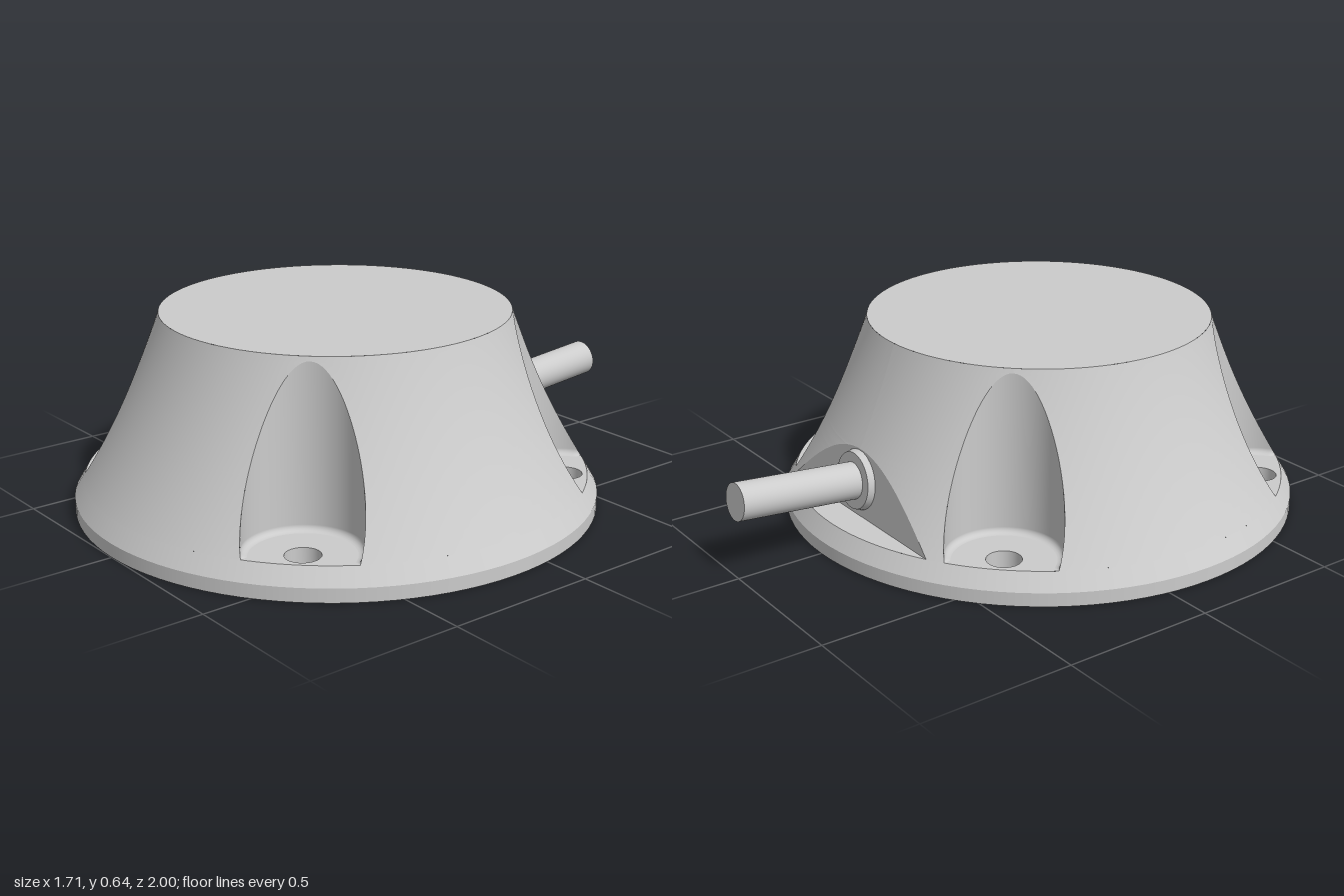
import * as THREE from 'three';

const H = 0.64, LIP = 0.045, FLOOR = 0.1;      // top, rim lip and pocket floor heights
const R = 0.18, D = 0.75, FILLET = 0.02;       // pocket radius, distance from axis, floor fillet
const SEG = 96, Q = Math.PI / 2;

// Flared side: radius at a height, and its inverse
const A = 0.855, B = 0.63, C = 0.24;
const radiusAt = y => A - B * (y - LIP) + C * (y - LIP) ** 2;
const heightAt = r => LIP + (B - Math.sqrt(B * B - 4 * C * (A - r))) / (2 * C);
const acos = v => Math.acos(Math.min(1, v));

// Half angle a pocket takes out of the side at a height
const pocketAngle = y => {
  const r = radiusAt(y);
  return acos((r * r + D * D - R * R) / (2 * r * D));
};
// Rear flat, leaning with the cable: distance from axis and half angle at a height
const TILT = 0.09;
const flatDist = y => 0.72 - TILT * (y - FLOOR);
const flatAngle = y => acos(flatDist(y) / radiusAt(y));
const k = B - TILT, FLAT_TOP = LIP + (k - Math.sqrt(k * k - 4 * C * (A - flatDist(LIP)))) / (2 * C);

const polar = (a, r, y) => [r * Math.sin(a), y, r * Math.cos(a)];
const lerp = THREE.MathUtils.lerp;

export function createModel() {
  const model = new THREE.Group();
  const body = new THREE.Group();
  body.name = 'body';
  body.position.z = 0.145;
  model.add(body);
  const mat = new THREE.MeshStandardMaterial({ color: 0xcccccc });
  const thin = new THREE.MeshStandardMaterial({ color: 0xcccccc, side: THREE.DoubleSide });

  const add = (name, geo, parent = body, material = mat) => {
    const mesh = new THREE.Mesh(geo, material);
    mesh.name = name;
    parent.add(mesh);
    return mesh;
  };

  // Grid surface: u runs rightwards and v upwards, seen from outside
  const grid = (nu, nv, f) => {
    const pos = [], idx = [];
    for (let j = 0; j <= nv; j++) for (let i = 0; i <= nu; i++) pos.push(...f(i / nu, j));
    for (let j = 0; j < nv; j++) for (let i = 0; i < nu; i++) {
      const a = j * (nu + 1) + i, b = a + nu + 1;
      idx.push(a, a + 1, b + 1, a, b + 1, b);
    }
    const geo = new THREE.BufferGeometry();
    geo.setAttribute('position', new THREE.Float32BufferAttribute(pos, 3));
    geo.setIndex(idx);
    geo.computeVertexNormals();
    return geo;
  };

  // Pocket wall angles, from the back of the pocket out to its mouth
  const rFloor = radiusAt(FLOOR);
  const psiMax = Math.acos((D * D + R * R - rFloor * rFloor) / (2 * D * R));
  const N = 28;
  const wallTop = psi => Math.max(FLOOR, heightAt(Math.sqrt(D * D + R * R - 2 * D * R * Math.cos(psi))));

  // Side rows, close together where pockets and the flat run out
  const rows = [H];
  for (let i = 0; i <= N; i++) rows.push(wallTop(psiMax * i / N));
  for (let i = 0; i < 14; i++) rows.push(FLOOR + (FLAT_TOP - FLOOR) * (1 - (i / 14) ** 2));
  rows.sort((a, b) => a - b);
  const strip = (name, ys, nu, from, to, rad = (a, y) => radiusAt(y)) =>
    add(name, grid(nu, ys.length - 1, (u, j) => {
      const y = ys[j], a = lerp(from(y), to(y), u);
      return polar(a, rad(a, y), y);
    }));

  // Flared side between pockets; the rear one is split around the flat
  for (let s = 0; s < 4; s++) {
    const mid = s * Q;
    const start = y => mid - Q / 2 + pocketAngle(y), end = y => mid + Q / 2 - pocketAngle(y);
    if (s === 2) {
      strip('rearShoulderLeft', rows, 14, start, y => mid - flatAngle(y));
      strip('rearShoulderRight', rows, 14, y => mid + flatAngle(y), end);
    } else strip('flaredSide', rows, 28, start, end);
  }

  // Rear flat and the ledge beneath it
  const chord = (a, y) => flatDist(y) / Math.cos(a - Math.PI);
  strip('rearFlat', rows.filter(y => y <= FLAT_TOP + 1e-6), 20,
    y => Math.PI - flatAngle(y), y => Math.PI + flatAngle(y), chord);
  const half = flatAngle(FLOOR);
  add('rearLedge', grid(24, 1, (u, j) => {
    const a = Math.PI + lerp(-half, half, u);
    return polar(a, j ? chord(a, FLOOR) : rFloor, FLOOR);
  }));

  // Top disc
  add('topFace', new THREE.CircleGeometry(radiusAt(H), SEG).rotateX(-Q)).position.y = H;

  // Rim lip and the start of the flare
  const band = (name, r0, y0, r1, y1) => add(name, new THREE.LatheGeometry(
    [new THREE.Vector2(r0, y0), new THREE.Vector2(r1, y1)], SEG));
  band('rimLip', A, 0, A, LIP);
  band('lowerFlare', A, LIP, rFloor, FLOOR);

  // Screw holes in every pocket, pin holes in two opposite ones
  const holes = [];
  for (let s = 0; s < 4; s++) {
    const [x, , z] = polar(Q / 2 + s * Q, D, 0);
    holes.push({ s, x, z, r: 0.055 });
  }
  holes.push({ s: 1, x: 0.615, z: -0.435, r: 0.03 }, { s: 3, x: -0.615, z: 0.43, r: 0.03 });
  const punch = (shape, list, zSign) => list.forEach(h =>
    shape.holes.push(new THREE.Path().absarc(h.x, zSign * h.z, h.r, 0, Math.PI * 2, true)));
  for (const h of holes)
    add('holeWall', new THREE.CylinderGeometry(h.r, h.r, FLOOR, 48, 1, true), body, thin)
      .position.set(h.x, FLOOR / 2, h.z);

  // Underside
  const under = new THREE.Shape().absarc(0, 0, A, 0, Math.PI * 2, false);
  punch(under, holes, 1);
  add('underside', new THREE.ShapeGeometry(under, SEG / 2).rotateX(Q));

  // Pockets: upright round wall, filleted into a flat floor
  for (let s = 0; s < 4; s++) {
    const a = Q / 2 + s * Q;
    const at = (psi, rho, y) => {
      const out = D - rho * Math.cos(psi), side = rho * Math.sin(psi);
      return [out * Math.sin(a) + side * Math.cos(a), y, out * Math.cos(a) - side * Math.sin(a)];
    };
    const fillet = psi => Math.min(FILLET, wallTop(psi) - FLOOR);
    const STEPS = 5;
    add('pocketWall', grid(2 * N, STEPS + 1, (u, j) => {
      const psi = lerp(-psiMax, psiMax, u), f = fillet(psi);
      if (j > STEPS) return at(psi, R, wallTop(psi));
      const t = Q * j / STEPS;
      return at(psi, R - f * (1 - Math.sin(t)), FLOOR + f * (1 - Math.cos(t)));
    }));

    const outline = [];
    for (let i = -N; i <= N; i++) {
      const psi = psiMax * i / N, [x, , z] = at(psi, R - fillet(psi), 0);
      outline.push(new THREE.Vector2(x, -z));
    }
    const d = pocketAngle(FLOOR);
    for (let i = 1; i < 12; i++) {
      const [x, , z] = polar(a + lerp(d, -d, i / 12), rFloor, 0);
      outline.push(new THREE.Vector2(x, -z));
    }
    const floor = new THREE.Shape(outline);
    punch(floor, holes.filter(h => h.s === s), -1);
    add('pocketFloor', new THREE.ShapeGeometry(floor, 24).rotateX(-Q)).position.y = FLOOR;
  }

  // Cable and its collar, square to the leaning flat
  const cable = new THREE.Group();
  cable.name = 'cableOutlet';
  cable.position.set(0, 0.217, -0.564);
  cable.rotation.x = -Q + Math.atan(TILT);
  model.add(cable);
  add('collar', new THREE.CylinderGeometry(0.092, 0.1, 0.03, 48), cable).position.y = 0.008;
  add('cable', new THREE.CylinderGeometry(0.06, 0.06, 0.45, 48), cable).position.y = 0.208;

  return model;
}
